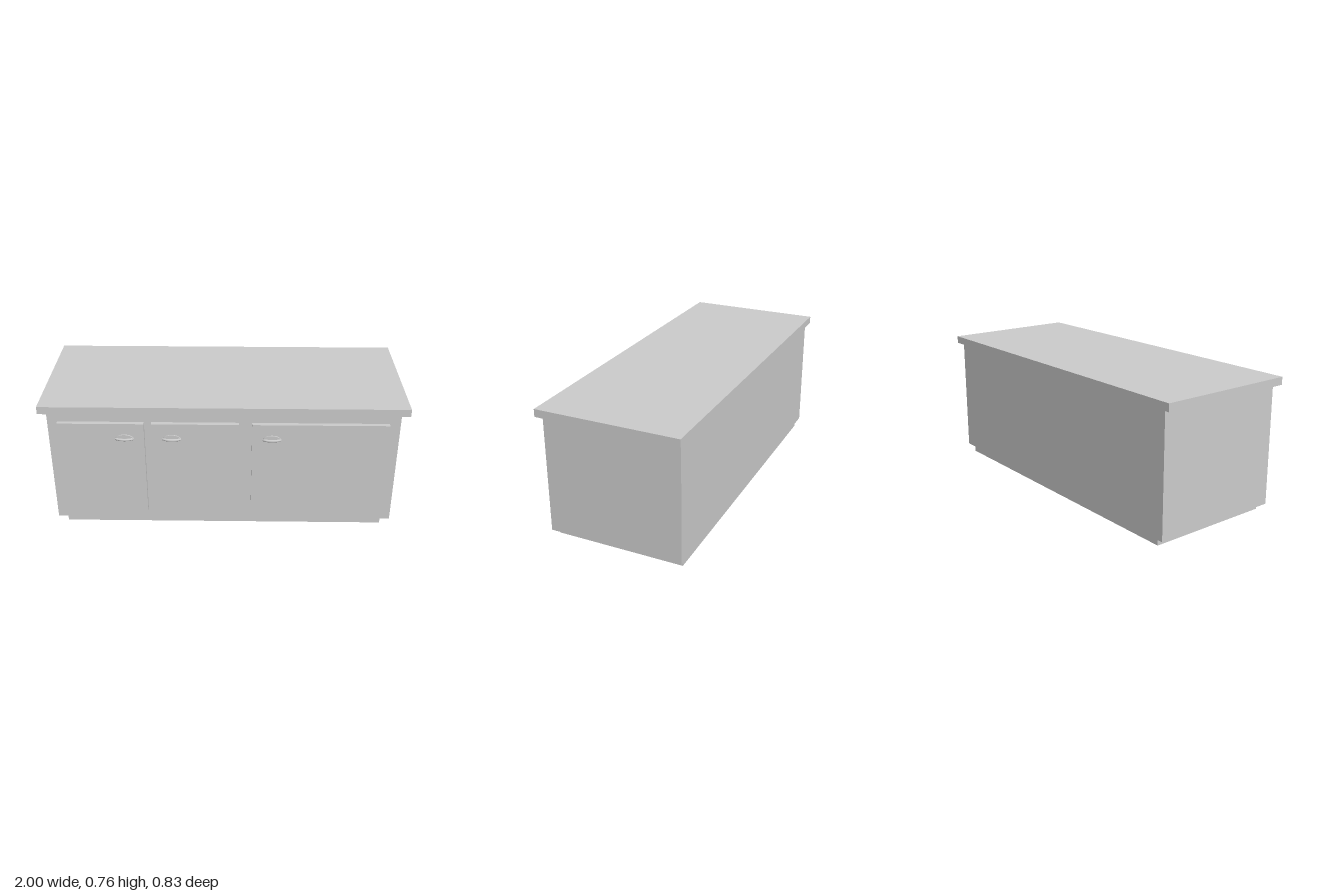
import * as THREE from 'three';

const grey = new THREE.MeshStandardMaterial({ color: 0xcccccc });

function add(parent, name, geometry) {
  const mesh = new THREE.Mesh(geometry, grey);
  mesh.name = name;
  parent.add(mesh);
  return mesh;
}

// Box given by its minimum and maximum corners
function box(parent, name, [x0, y0, z0], [x1, y1, z1]) {
  const mesh = add(parent, name, new THREE.BoxGeometry(x1 - x0, y1 - y0, z1 - z0));
  mesh.position.set((x0 + x1) / 2, (y0 + y1) / 2, (z0 + z1) / 2);
  return mesh;
}

// Rectangular outline in plan; the shape's y runs along -z
function outline(target, x, zBack, zFront) {
  target.moveTo(-x, -zFront);
  target.lineTo(x, -zFront);
  target.lineTo(x, -zBack);
  target.lineTo(-x, -zBack);
  target.closePath();
  return target;
}

// Four walls around an open middle
function walls(parent, name, x, zBack, zFront, y0, y1, t) {
  const shape = outline(new THREE.Shape(), x, zBack, zFront);
  shape.holes.push(outline(new THREE.Path(), x - t, zBack + t, zFront - t));
  const geometry = new THREE.ExtrudeGeometry(shape, { depth: y1 - y0, bevelEnabled: false });
  geometry.rotateX(-Math.PI / 2);
  add(parent, name, geometry).position.y = y0;
}

// Oval backplate with a bowed grip
function makeHandle(x) {
  const handle = new THREE.Group();
  handle.name = 'handle';
  const plate = new THREE.CylinderGeometry(1, 1, 0.008, 32);
  plate.rotateX(Math.PI / 2);
  plate.scale(0.05, 0.0275, 1);
  add(handle, 'handlePlate', plate).position.z = 0.004;

  const bow = new THREE.CatmullRomCurve3([
    [-0.048, 0.003], [-0.036, 0.01], [-0.02, 0.0145], [0, 0.016],
    [0.02, 0.0145], [0.036, 0.01], [0.048, 0.003],
  ].map(([px, pz]) => new THREE.Vector3(px, 0, pz)));
  add(handle, 'handleGrip', new THREE.TubeGeometry(bow, 24, 0.007, 10)).position.y = 0.002;
  handle.position.set(x, 0.578, 0.393);
  return handle;
}

export function createModel() {
  const model = new THREE.Group();
  model.name = 'cabinet';

  // Worktop, carcass and recessed plinth, open underneath
  box(model, 'worktop', [-1, 0.722, -0.415], [1, 0.765, 0.385]);
  walls(model, 'carcass', 0.955, -0.396, 0.369, 0.043, 0.722, 0.02);
  walls(model, 'plinth', 0.905, -0.379, 0.351, 0, 0.043, 0.005);

  // Ledge closing the carcass bottom out to the plinth
  const ledge = outline(new THREE.Shape(), 0.955, -0.396, 0.369);
  ledge.holes.push(outline(new THREE.Path(), 0.9, -0.374, 0.346));
  const ledgeGeometry = new THREE.ExtrudeGeometry(ledge, { depth: 0.004, bevelEnabled: false });
  ledgeGeometry.rotateX(-Math.PI / 2);
  add(model, 'bottomLedge', ledgeGeometry).position.y = 0.0425;

  // Doors pass through the front wall: left edge, right edge, handle centre
  for (const [x0, x1, handleX] of [
    [-0.9, -0.43, -0.537],
    [-0.39, 0.085, -0.28],
    [0.155, 0.895, 0.263],
  ]) {
    box(model, 'door', [x0, 0.097, 0.33], [x1, 0.67, 0.394]);
    model.add(makeHandle(handleX));
  }
  return model;
}
